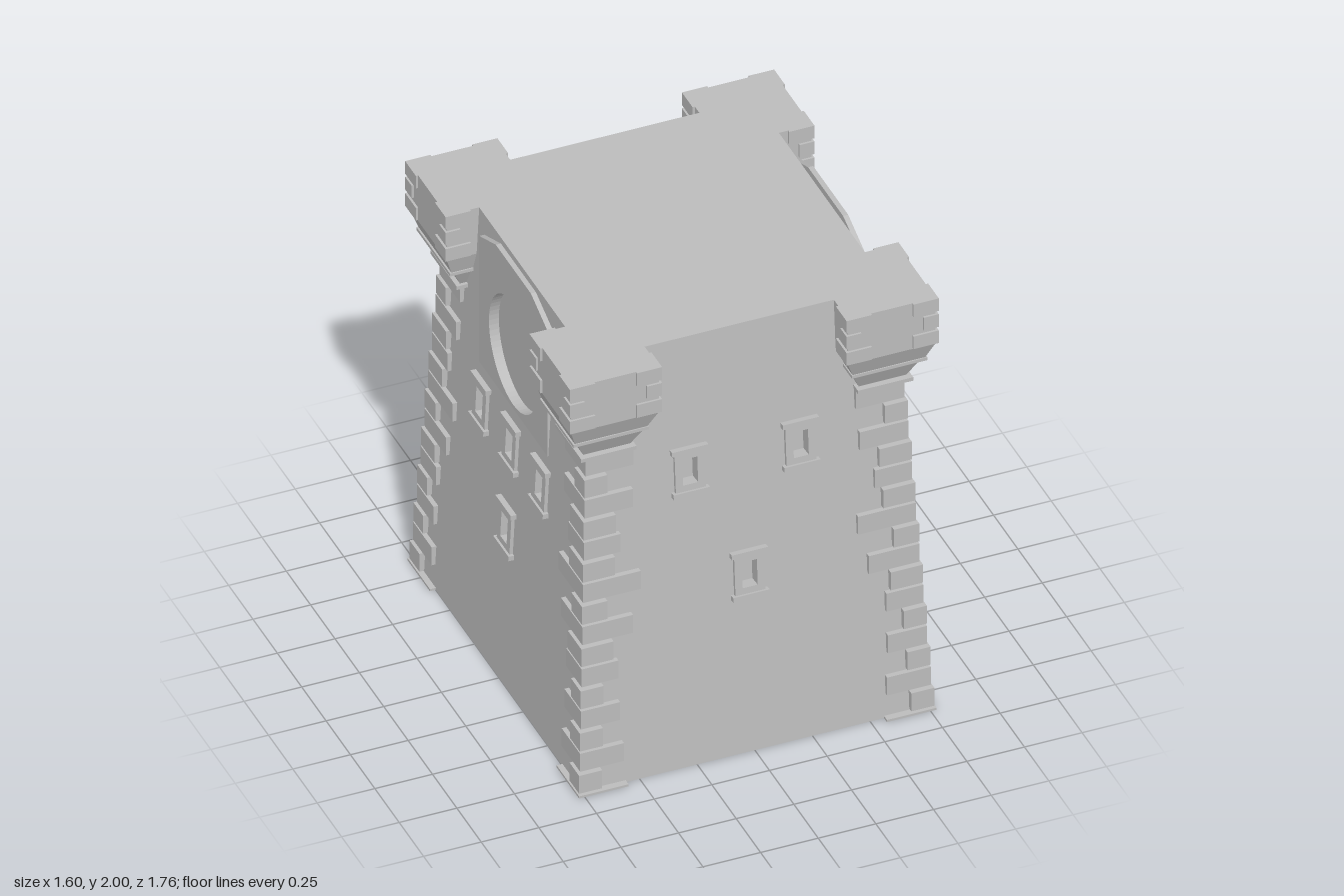
import * as THREE from 'three';

const stone = new THREE.MeshStandardMaterial({ color: 0xbcbcbc, flatShading: true });
stone.name = 'grey stone';

const H = 2;
const BASE = { x: 0.75, z: 0.85 };
const TOP = { x: 0.65, z: 0.69 };
const mix = (a, b, y) => a + (b - a) * y / H;

function add(parent, geometry, name) {
  const mesh = new THREE.Mesh(geometry, stone);
  mesh.name = name;
  parent.add(mesh);
  return mesh;
}

function polygon(points, Type = THREE.Shape) {
  return new Type(points.map(([x, y]) => new THREE.Vector2(x, y)));
}

function rect(x, y, w, h, Type) {
  return polygon([[x - w / 2, y - h / 2], [x + w / 2, y - h / 2], [x + w / 2, y + h / 2], [x - w / 2, y + h / 2]], Type);
}

function circle(x, y, r) {
  const path = new THREE.Path();
  path.absarc(x, y, r, 0, Math.PI * 2);
  return path;
}

const extrude = (shape, depth) =>
  new THREE.ExtrudeGeometry(shape, { depth, bevelEnabled: false, curveSegments: 32 });

// Block between two horizontal rectangles [x0, x1, z0, z1], placed in one corner quadrant
function block(parent, name, sx, sz, y0, y1, low, high = low) {
  const g = new THREE.BoxGeometry(1, 1, 1);
  const p = g.attributes.position;
  for (let i = 0; i < p.count; i++) {
    const up = p.getY(i) > 0;
    const [x0, x1, z0, z1] = up ? high : low;
    p.setXYZ(i, sx * (x0 + x1) / 2 + p.getX(i) * (x1 - x0), up ? y1 : y0,
      sz * (z0 + z1) / 2 + p.getZ(i) * (z1 - z0));
  }
  g.computeVertexNormals();
  return add(parent, g, name);
}

// Window frame with a recessed opening, sill and lintel
function makeWindow(h) {
  const g = new THREE.Group();
  g.name = 'window';
  const frame = rect(0, 0, 0.13, h);
  frame.holes.push(rect(0, 0, 0.065, 0.12, THREE.Path));
  add(g, extrude(frame, 0.06), 'windowFrame').position.z = -0.045;
  add(g, new THREE.PlaneGeometry(0.07, 0.125), 'windowRecess').position.z = -0.04;
  for (const s of [-1, 1]) {
    const bar = add(g, new THREE.BoxGeometry(0.158, 0.022, 0.05), s < 0 ? 'windowSill' : 'windowLintel');
    bar.position.set(0, s * (h / 2 - 0.011), 0);
  }
  return g;
}

// Sloping wall, facing +z, cut open for its windows and roundel
function makeWall(side, windows, h, roundel) {
  const across = side === 'z' ? 'x' : 'z';
  const g = new THREE.Group();
  g.name = 'wallSide';
  const shape = polygon([[-BASE[across], 0], [BASE[across], 0], [TOP[across], H], [-TOP[across], H]]);
  for (const [u, y] of windows) shape.holes.push(rect(u, y, 0.1, 0.16, THREE.Path));
  if (roundel) shape.holes.push(circle(0, 1.58, 0.25));
  const geo = new THREE.ShapeGeometry(shape, 32);
  const p = geo.attributes.position;
  for (let i = 0; i < p.count; i++) p.setZ(i, mix(BASE[side], TOP[side], p.getY(i)));
  geo.computeVertexNormals();
  add(g, geo, 'wall');

  for (const [u, y] of windows) {
    const w = makeWindow(h);
    w.position.set(u, y, mix(BASE[side], TOP[side], y));
    w.rotation.x = -Math.atan((BASE[side] - TOP[side]) / H);
    g.add(w);
  }

  // Gabled panel with a sunken round field
  if (roundel) {
    const panel = polygon([[-0.35, 1.31], [0.35, 1.31], [0.35, 1.93], [0.18, 2], [-0.18, 2], [-0.35, 1.93]]);
    panel.holes.push(circle(0, 1.58, 0.25));
    add(g, extrude(panel, 0.022), 'gablePanel').position.z = 0.666;
    const rim = new THREE.Shape().absarc(0, 1.58, 0.26, 0, Math.PI * 2);
    rim.holes.push(circle(0, 1.58, 0.25));
    add(g, extrude(rim, 0.035), 'roundelRim').position.z = 0.64;
    add(g, new THREE.CircleGeometry(0.255, 48), 'roundelField').position.set(0, 1.58, 0.645);
  }
  return g;
}

// Corner stones and the corbelled turret above them
function makeCorner(sx, sz) {
  const g = new THREE.Group();
  g.name = 'corner';
  const put = (name, y0, y1, low, high) => block(g, name, sx, sz, y0, y1, low, high);

  put('footing', 0, 0.01, [0.56, 0.775, 0.65, 0.88]);
  const lengths = [0.1, 0.19, 0.1, 0.17, 0.1, 0.16, 0.14, 0.22, 0.11, 0.25, 0.14, 0.16, 0.14, 0.21, 0.1, 0.21];
  lengths.forEach((len, i) => {
    const y = 0.015 + i * 0.0975;
    const out = i % 2 ? 0.016 : 0.021;
    const x = mix(BASE.x, TOP.x, y) + out;
    const z = mix(BASE.z, TOP.z, y) + out;
    put('cornerStone', y, y + 0.088, [x - len, x, z - len, z]);
  });

  put('lowerLedge', 1.568, 1.585, [0.48, 0.72, 0.505, 0.772]);
  put('lowerCorbel', 1.585, 1.678, [0.495, 0.70, 0.52, 0.745], [0.45, 0.745, 0.475, 0.79]);
  put('upperLedge', 1.678, 1.692, [0.44, 0.768, 0.46, 0.805]);
  put('upperCorbel', 1.692, 1.775, [0.445, 0.76, 0.465, 0.80], [0.41, 0.79, 0.44, 0.835]);
  put('turret', 1.775, H, [0.41, 0.79, 0.44, 0.835]);

  // Raised stones on the exposed turret edges
  [[1.78, 0.11], [1.86, 0.065], [1.938, 0.11]].forEach(([y, len]) => {
    const xs = [[0.4, 0.4 + len], [0.8 - len, 0.8]];
    const zs = [[0.43, 0.43 + len], [0.845 - len, 0.845]];
    for (const [i, j] of [[1, 1], [0, 1], [1, 0]]) {
      put('turretStone', y, y + 0.062, [...xs[i], ...zs[j]]);
    }
  });
  return g;
}

export function createModel() {
  const tower = new THREE.Group();
  tower.name = 'tower';

  // Walls on all four sides
  for (const k of [0, 1, 2, 3]) {
    const wall = k % 2
      ? makeWall('x', [[0, 0.735], [-0.305, 1.14], [0, 1.14], [0.305, 1.14]], 0.22, true)
      : makeWall('z', [[-0.24, 1.38], [0.24, 1.38], [0, 0.835]], 0.222, false);
    wall.rotation.y = k * Math.PI / 2;
    tower.add(wall);
  }

  // Roof and underside
  const roof = add(tower, new THREE.PlaneGeometry(TOP.x * 2, TOP.z * 2), 'roof');
  roof.rotation.x = -Math.PI / 2;
  roof.position.y = H;
  const floor = add(tower, new THREE.PlaneGeometry(BASE.x * 2, BASE.z * 2), 'underside');
  floor.rotation.x = Math.PI / 2;

  for (const sx of [-1, 1]) for (const sz of [-1, 1]) tower.add(makeCorner(sx, sz));
  return tower;
}
